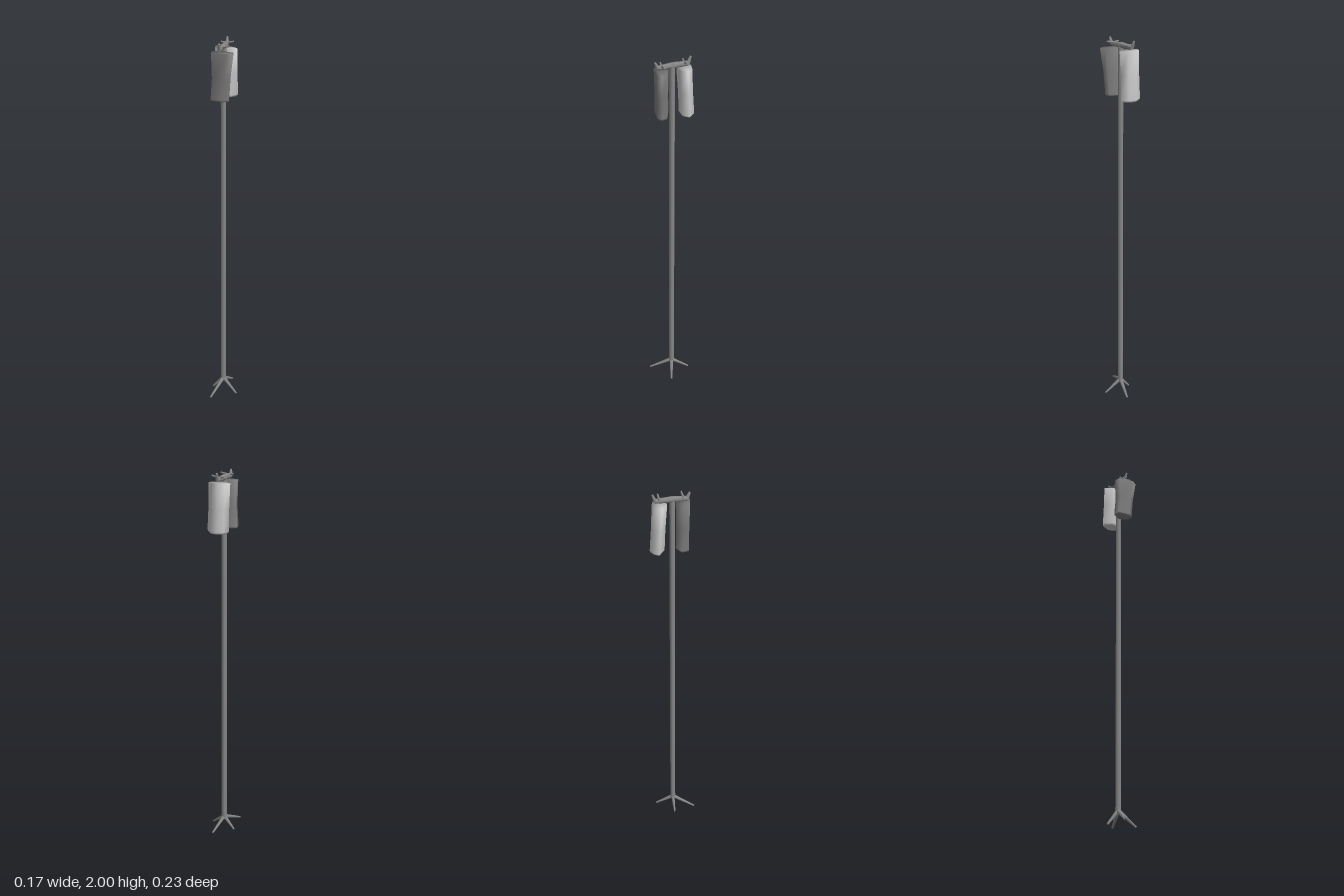
import * as THREE from 'three';

const darkWood = new THREE.MeshStandardMaterial({ color: 0x888888 });
const darkCloth = new THREE.MeshStandardMaterial({ color: 0x808080 });
const paleCloth = new THREE.MeshStandardMaterial({ color: 0xe2e2e2 });
const V = (p) => new THREE.Vector3(...p);

function add(parent, name, geometry, material) {
  const mesh = new THREE.Mesh(geometry, material);
  mesh.name = name;
  parent.add(mesh);
  return mesh;
}

// Tapered round rod between two points
function rod(parent, name, from, to, r0, r1, sides = 6) {
  const a = V(from), b = V(to), dir = b.clone().sub(a);
  const mesh = add(parent, name, new THREE.CylinderGeometry(r1, r0, dir.length(), sides), darkWood);
  mesh.position.copy(a).add(b).multiplyScalar(0.5);
  mesh.quaternion.setFromUnitVectors(new THREE.Vector3(0, 1, 0), dir.normalize());
}

// Closed soft bundle: an [x, z] outline repeated at levels [y, scaleX, scaleZ, dx, dz]
function bundle(outline, levels) {
  const n = outline.length, top = (levels.length - 1) * n;
  const cx = outline.reduce((s, p) => s + p[0], 0) / n;
  const cz = outline.reduce((s, p) => s + p[1], 0) / n;
  const pos = [], index = [];
  levels.forEach(([y, sx, sz, dx, dz], i) => {
    outline.forEach(([x, z], j) => {
      pos.push(cx + (x - cx) * sx + dx, y, cz + (z - cz) * sz + dz);
      if (i === levels.length - 1) return;
      const a = i * n + j, b = i * n + (j + 1) % n;
      index.push(a, a + n, b, b, a + n, b + n);
    });
  });
  // End caps share the rim, so the shading rolls over the edge
  for (let j = 1; j < n - 1; j++) index.push(0, j, j + 1, top, top + j + 1, top + j);
  const g = new THREE.BufferGeometry();
  g.setAttribute('position', new THREE.Float32BufferAttribute(pos, 3));
  g.setIndex(index);
  g.computeVertexNormals();
  return g;
}

export function createModel() {
  const model = new THREE.Group();
  model.name = 'hangingPost';

  // Tall pole
  rod(model, 'pole', [-0.006, 0.07, -0.012], [-0.006, 1.965, -0.012], 0.0145, 0.0135, 8);

  // Four splayed feet
  const feet = [
    [0.083, 0.008, -0.012], [-0.063, 0.012, 0.008],
    [-0.006, 0.018, 0.115], [-0.012, 0.018, -0.11],
  ];
  for (const tip of feet) rod(model, 'foot', [-0.006, 0.083, -0.012], tip, 0.011, 0.005);

  // Crossbar, thickest at the pole, with slender upturned tips
  const mid = [-0.007, 1.968, -0.012];
  const ends = [
    { in: [-0.036, 1.966, -0.085], out: [-0.042, 1.998, -0.097] },
    { in: [0.016, 1.966, 0.053], out: [0.023, 1.995, 0.065] },
  ];
  for (const e of ends) {
    rod(model, 'crossbarArm', mid, e.in, 0.015, 0.011);
    rod(model, 'crossbarTip', e.in, e.out, 0.01, 0.005);
  }

  // Thin pegs lying across the crossbar, bent slightly up at the ends
  const pegs = [
    [[-0.055, 1.978, -0.061], [-0.024, 1.974, -0.07], [0.007, 1.982, -0.081]],
    [[-0.014, 1.978, 0.042], [0.018, 1.974, 0.034], [0.052, 1.982, 0.021]],
  ];
  for (const [a, b, c] of pegs) {
    rod(model, 'peg', b, a, 0.0055, 0.004);
    rod(model, 'peg', b, c, 0.0055, 0.004);
  }

  // Front hanging bundle, pinched at the middle
  add(model, 'frontBundle', bundle(
    [[0.084, 0.034], [0.06, 0.06], [-0.02, 0.072], [-0.042, 0.04], [0, 0.003], [0.065, 0.008]],
    [
      [1.718, 0.78, 0.88, -0.014, 0], [1.726, 0.8, 0.94, -0.014, 0],
      [1.83, 0.8, 0.92, -0.006, 0], [1.95, 0.98, 1, 0, 0],
    ]), darkCloth);

  // Back hanging bundle, leaning outward at the bottom
  add(model, 'backBundle', bundle(
    [[0.026, -0.085], [0.01, -0.045], [-0.03, -0.03], [-0.082, -0.045], [-0.075, -0.075],
      [-0.05, -0.1], [-0.01, -0.105]],
    [
      [1.711, 0.8, 0.78, -0.002, -0.013], [1.722, 1, 0.97, -0.003, -0.013],
      [1.83, 0.96, 0.93, -0.002, -0.007], [1.95, 0.98, 0.98, 0, 0],
    ]), paleCloth);

  return model;
}
